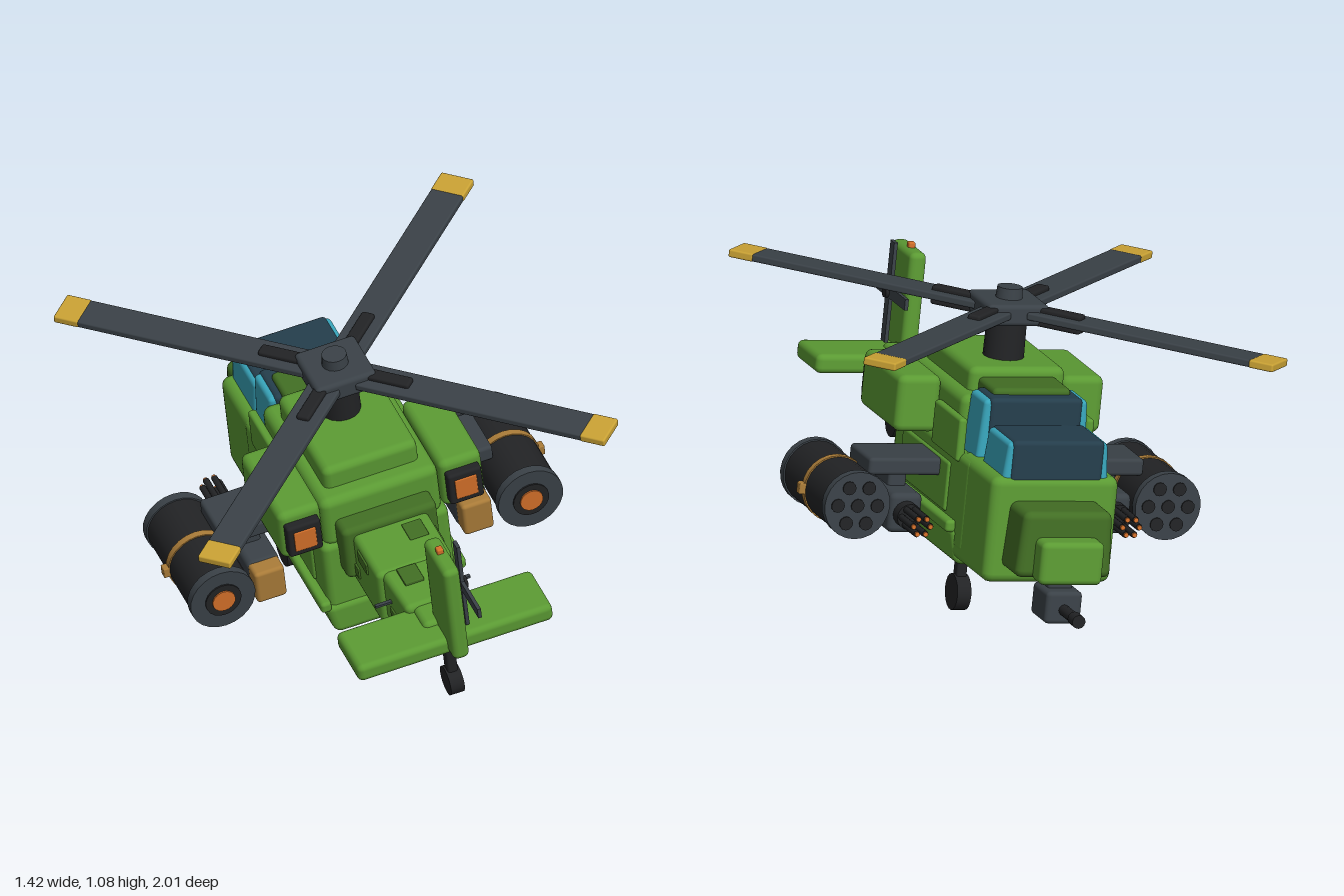
import * as THREE from 'three';
import { RoundedBoxGeometry } from 'three/addons/geometries/RoundedBoxGeometry.js';

const paint = (name, color) => {
  const m = new THREE.MeshStandardMaterial({ color });
  m.name = name;
  return m;
};

export function createModel() {
  const green = paint('leaf green', 0x5b9a33);
  const darkGreen = paint('dark green', 0x426e24);
  const slate = paint('slate', 0x3a4147);
  const black = paint('black', 0x222325);
  const orange = paint('orange', 0xd4702a);
  const yellow = paint('yellow', 0xcaa234);
  const tan = paint('tan', 0xa97b38);
  const teal = paint('teal glass', 0x38a5bb);
  const navy = paint('navy glass', 0x243d4b);

  const model = new THREE.Group();
  model.name = 'helicopter';
  // whole aircraft banks and lifts its nose (nose points to -z)
  const craft = new THREE.Group();
  craft.name = 'aircraft';
  craft.position.set(0.124, 0, 0);
  craft.rotation.set(THREE.MathUtils.degToRad(6), 0, THREE.MathUtils.degToRad(8));
  model.add(craft);

  const add = (parent, name, geo, mat, x = 0, y = 0, z = 0) => {
    const m = new THREE.Mesh(geo, mat);
    m.name = name;
    m.position.set(x, y, z);
    parent.add(m);
    return m;
  };
  // rounded box given by its centre x, half width and y and z ranges
  const box = (parent, name, mat, cx, hw, [y0, y1], [z0, z1], r = 0.02) => {
    const w = 2 * hw, h = y1 - y0, d = z1 - z0;
    const rad = Math.min(r, w * 0.45, h * 0.45, d * 0.45);
    return add(parent, name, new RoundedBoxGeometry(w, h, d, 2, rad), mat, cx, (y0 + y1) / 2, (z0 + z1) / 2);
  };
  // cylinder along z
  const tube = (parent, name, mat, r, x, y, z0, z1, sides = 20) =>
    add(parent, name, new THREE.CylinderGeometry(r, r, z1 - z0, sides).rotateX(Math.PI / 2), mat, x, y, (z0 + z1) / 2);
  // narrows a geometry in x towards one end of the given axis
  const taper = (mesh, axis, low, high) => {
    const p = mesh.geometry.attributes.position;
    mesh.geometry.computeBoundingBox();
    const b = mesh.geometry.boundingBox;
    for (let i = 0; i < p.count; i++) {
      const t = (p.getComponent(i, axis) - b.min.getComponent(axis)) / (b.max.getComponent(axis) - b.min.getComponent(axis));
      p.setX(i, p.getX(i) * (low + (high - low) * t));
    }
    return mesh;
  };

  // fuselage
  const fuselage = new THREE.Group();
  fuselage.name = 'fuselage';
  craft.add(fuselage);
  box(fuselage, 'hull', green, 0, 0.215, [0.2, 0.51], [-0.5, 0.2], 0.025);
  taper(box(fuselage, 'belly', green, 0, 0.23, [0.15, 0.27], [-0.43, 0.21], 0.025), 1, 0.88, 1);
  box(fuselage, 'cockpitBody', green, 0, 0.213, [0.17, 0.515], [-0.71, -0.38], 0.03);
  taper(box(fuselage, 'noseStep', darkGreen, 0, 0.16, [0.225, 0.44], [-0.85, -0.68], 0.025), 1, 1, 0.92);
  box(fuselage, 'noseTip', green, 0, 0.105, [0.22, 0.36], [-0.92, -0.83], 0.02);
  box(fuselage, 'middleDeck', green, 0, 0.2, [0.49, 0.68], [-0.34, 0.19], 0.03);
  box(fuselage, 'upperCowling', green, 0, 0.16, [0.65, 0.755], [-0.28, 0.13], 0.025);
  box(fuselage, 'roofPanel', darkGreen, 0, 0.13, [0.66, 0.725], [-0.42, -0.22], 0.015);
  box(fuselage, 'rearDeck', darkGreen, 0, 0.16, [0.4, 0.6], [0.1, 0.26], 0.02);

  // canopies: light sides with a dark wrap over the top and front
  const canopy = (name, hw, y, z, inset) => {
    const g = new THREE.Group();
    g.name = name;
    fuselage.add(g);
    taper(box(g, 'sideGlass', teal, 0, hw, y, z, 0.015), 1, 1, 0.93);
    box(g, 'topGlass', navy, 0, hw - inset, [y[0], y[1] + 0.006], [z[0] - 0.006, z[1] + 0.004], 0.015);
  };
  canopy('frontCanopy', 0.178, [0.49, 0.625], [-0.695, -0.495], 0.024);
  canopy('rearCanopy', 0.185, [0.49, 0.7], [-0.465, -0.325], 0.03);

  // tail
  const tail = new THREE.Group();
  tail.name = 'tail';
  craft.add(tail);
  box(tail, 'frontBoom', green, 0, 0.127, [0.365, 0.575], [0.18, 0.47], 0.02);
  taper(box(tail, 'rearBoom', green, 0, 0.11, [0.385, 0.57], [0.42, 0.65], 0.02), 2, 1, 0.9);
  box(tail, 'boomEnd', green, 0, 0.075, [0.44, 0.56], [0.6, 0.74], 0.02);
  box(tail, 'tailPlane', green, 0, 0.33, [0.482, 0.545], [0.62, 0.82], 0.02);
  box(tail, 'fin', green, 0, 0.028, [0.49, 0.86], [0.68, 0.87], 0.02);
  box(tail, 'finLight', orange, 0, 0.011, [0.85, 0.877], [0.75, 0.775], 0.005);
  for (const [x, z] of [[0.06, 0.32], [-0.03, 0.51]])
    box(tail, 'boomTopPanel', darkGreen, x, 0.032, [0.567, 0.58], [z - 0.04, z + 0.04], 0.003);
  // tail rotor
  const tailRotor = new THREE.Group();
  tailRotor.name = 'tailRotor';
  tailRotor.position.set(0.055, 0.713, 0.77);
  tail.add(tailRotor);
  for (const a of [0, Math.PI / 2])
    add(tailRotor, 'tailBlade', new THREE.BoxGeometry(0.012, 0.325, 0.036), slate).rotation.x = a;
  add(tailRotor, 'tailRotorHub', new THREE.CylinderGeometry(0.02, 0.02, 0.06, 12).rotateZ(Math.PI / 2), black, -0.012);

  // main rotor
  const rotor = new THREE.Group();
  rotor.name = 'mainRotor';
  rotor.position.set(0, 0.91, -0.132);
  craft.add(rotor);
  add(rotor, 'mast', new THREE.CylinderGeometry(0.063, 0.066, 0.2, 16), black, 0, -0.11);
  box(rotor, 'hub', slate, 0, 0.102, [-0.035, 0.035], [-0.102, 0.102], 0.015);
  add(rotor, 'hubCap', new THREE.CylinderGeometry(0.04, 0.044, 0.05, 16), slate, 0, 0.045);
  for (let i = 0; i < 4; i++) {
    const arm = new THREE.Group();
    arm.name = 'bladeArm';
    arm.rotation.y = Math.PI / 4 + i * Math.PI / 2;
    rotor.add(arm);
    box(arm, 'blade', slate, 0, 0.055, [-0.012, 0.012], [0.09, 0.87], 0.006);
    box(arm, 'bladeTip', yellow, 0, 0.056, [-0.013, 0.013], [0.865, 0.95], 0.006);
    box(arm, 'bladeGrip', black, 0, 0.022, [-0.035, 0.026], [0.09, 0.26], 0.008);
  }

  // chin gun
  const chinGun = new THREE.Group();
  chinGun.name = 'chinGun';
  craft.add(chinGun);
  box(chinGun, 'turret', slate, 0, 0.06, [0.085, 0.19], [-0.88, -0.74], 0.015);
  box(chinGun, 'turretMount', slate, 0, 0.04, [0.17, 0.26], [-0.83, -0.75], 0.01);
  tube(chinGun, 'barrel', black, 0.018, 0, 0.132, -0.99, -0.86, 12);
  tube(chinGun, 'muzzle', black, 0.022, 0, 0.132, -1.02, -0.975, 12);

  // wheels
  const wheel = (name, x, y, z, r, top) => {
    const g = new THREE.Group();
    g.name = name;
    craft.add(g);
    add(g, 'tyre', new THREE.CylinderGeometry(r, r, 0.046, 18).rotateZ(Math.PI / 2), black, x, y, z);
    box(g, 'strut', black, x, 0.017, [y, top], [z - 0.02, z + 0.02], 0.008);
  };
  wheel('tailWheel', 0, 0.3, 0.73, 0.049, 0.5);

  for (const s of [-1, 1]) {
    const side = new THREE.Group();
    side.name = s > 0 ? 'leftEquipment' : 'rightEquipment';
    craft.add(side);
    wheel(s > 0 ? 'leftWheel' : 'rightWheel', s * 0.16, 0.048, -0.36, 0.058, 0.22);

    // hull and boom trim
    box(side, 'sillRail', green, s * 0.227, 0.018, [0.255, 0.295], [-0.42, 0.215], 0.012);
    box(side, 'hullPanel', green, s * 0.212, 0.014, [0.48, 0.62], [-0.4, -0.16], 0.01);
    box(side, 'bodyPanel', green, s * 0.212, 0.012, [0.3, 0.46], [-0.33, 0.1], 0.01);
    for (const [x, y, z] of [[0.127, 0.53, 0.34], [0.127, 0.44, 0.25], [0.104, 0.45, 0.55]])
      box(side, 'boomSidePanel', darkGreen, s * x, 0.006, [y - 0.022, y + 0.022], [z - 0.04, z + 0.04], 0.003);
    add(side, 'antenna', new THREE.BoxGeometry(0.06, 0.008, 0.012), slate, s * 0.13, 0.5, 0.52);

    // engine with glowing rear outlet
    box(side, 'engine', green, s * 0.272, 0.072, [0.505, 0.69], [-0.15, 0.195], 0.025);
    box(side, 'outletFrame', black, s * 0.272, 0.057, [0.535, 0.655], [0.17, 0.225], 0.01);
    box(side, 'outletGlow', orange, s * 0.272, 0.037, [0.557, 0.633], [0.22, 0.229], 0.003);

    // stub wing
    box(side, 'stubWing', slate, s * 0.325, 0.135, [0.397, 0.453], [-0.26, -0.07], 0.012);

    // rocket pod
    const pod = new THREE.Group();
    pod.name = 'rocketPod';
    pod.position.set(s * 0.52, 0.322, 0);
    side.add(pod);
    tube(pod, 'podBody', black, 0.104, 0, 0, -0.33, 0.06, 24);
    for (const z of [-0.345, 0.045]) tube(pod, 'podRim', slate, 0.109, 0, 0, z, z + 0.03, 24);
    tube(pod, 'podBand', tan, 0.108, 0, 0, -0.147, -0.123, 24);
    box(pod, 'bandClasp', tan, s * 0.112, 0.012, [-0.018, 0.018], [-0.15, -0.12], 0.004);
    tube(pod, 'rearRing', black, 0.06, 0, 0, 0.06, 0.08);
    tube(pod, 'rearGlow', orange, 0.038, 0, 0, 0.07, 0.085);
    for (let i = 0; i < 7; i++) {
      const a = i * Math.PI / 3, r = i < 6 ? 0.066 : 0;
      tube(pod, 'rocketHole', black, 0.022, r * Math.cos(a), r * Math.sin(a), -0.35, -0.34, 12);
    }

    // rotary gun slung beneath the wing
    const gun = new THREE.Group();
    gun.name = 'rotaryGun';
    gun.position.set(s * 0.35, 0.292, 0);
    side.add(gun);
    box(gun, 'gunBody', slate, 0, 0.054, [-0.065, 0.065], [-0.33, 0.0], 0.02);
    box(gun, 'gunHanger', slate, 0, 0.03, [0.05, 0.13], [-0.23, -0.1], 0.01);
    box(gun, 'ammoBox', tan, 0, 0.05, [-0.06, 0.06], [-0.02, 0.05], 0.012);
    tube(gun, 'barrelCollar', black, 0.042, 0, 0, -0.37, -0.32, 16);
    for (let i = 0; i < 6; i++) {
      const x = 0.028 * Math.cos(i * Math.PI / 3), y = 0.028 * Math.sin(i * Math.PI / 3);
      tube(gun, 'gunBarrel', black, 0.011, x, y, -0.48, -0.35, 8);
      tube(gun, 'barrelTip', orange, 0.008, x, y, -0.487, -0.475, 8);
    }
  }
  return model;
}
